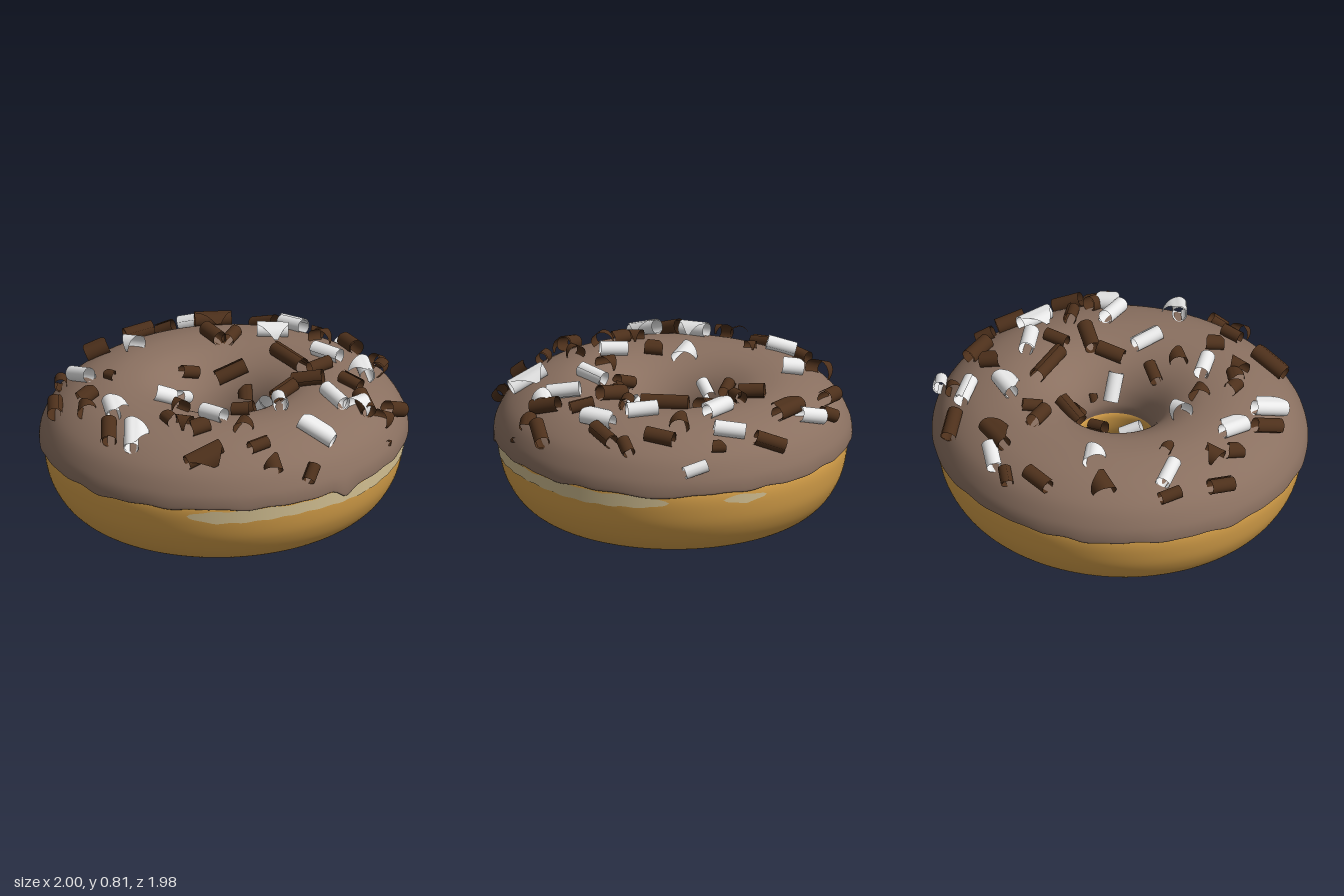
import * as THREE from 'three';

const V2 = (r, y) => new THREE.Vector2(r, y);
const spline = (pts, n) => new THREE.SplineCurve(pts.map(p => V2(...p))).getPoints(n);

// Ring profiles (radius, height), wound counter-clockwise
const doughProfile = spline([
  [0.222, 0.41], [0.212, 0.36], [0.24, 0.25], [0.32, 0.12], [0.43, 0.03], [0.56, 0.002], [0.68, 0.004],
  [0.795, 0.037], [0.88, 0.105], [0.94, 0.205], [0.968, 0.31], [0.973, 0.4], [0.95, 0.47],
], 72);
const icingProfile = spline([
  [0.955, 0.43], [0.985, 0.413], [1.0, 0.425], [0.985, 0.5], [0.92, 0.6], [0.8, 0.68], [0.66, 0.722],
  [0.54, 0.73], [0.42, 0.71], [0.31, 0.65], [0.235, 0.56], [0.203, 0.46], [0.212, 0.395],
], 72);

// The ring is slightly oval on the diagonal and its hole is a little off centre
function warp(x, z) {
  const f = 1 - 0.026 * Math.sin(2 * Math.atan2(x, z));
  const k = THREE.MathUtils.clamp((1 - Math.hypot(x, z)) / 0.8, 0, 1);
  return [x * f + 0.013 * k, z * f * 0.99 - 0.02 * k];
}

function unwarp(x, z) {
  let p = [x, z];
  for (let i = 0; i < 4; i++) {
    const q = warp(...p);
    p = [p[0] + x - q[0], p[1] + z - q[1]];
  }
  return p;
}

function warpGeometry(geo) {
  const p = geo.attributes.position;
  for (let i = 0; i < p.count; i++) {
    const [x, z] = warp(p.getX(i), p.getZ(i));
    p.setXYZ(i, x, p.getY(i), z);
  }
  return geo;
}

const gauss = (a, centre, width) => {
  const d = Math.atan2(Math.sin(a - centre), Math.cos(a - centre)) / width;
  return Math.exp(-d * d);
};

// How far the icing edge runs down at an angle round the ring
const drip = a => 0.003 * Math.sin(9 * a) + 0.004 * Math.sin(17 * a + 1) + 0.003 * Math.sin(29 * a)
  + 0.045 * gauss(a, 0.668, 0.06) + 0.018 * gauss(a, -0.82, 0.1)
  + 0.022 * gauss(a, 2.1, 0.09) + 0.018 * gauss(a, -2.3, 0.1) + 0.012 * gauss(a, -1.5, 0.1);

function makeIcing() {
  const geo = new THREE.LatheGeometry(icingProfile, 240);
  const p = geo.attributes.position;
  for (let i = 0; i < p.count; i++) {
    const x = p.getX(i), y = p.getY(i), z = p.getZ(i);
    if (Math.hypot(x, z) < 0.7) continue;
    const w = THREE.MathUtils.clamp((0.52 - y) / 0.1, 0, 1);
    p.setY(i, y - w * drip(Math.atan2(x, z)));
  }
  return warpGeometry(geo);
}

const outerDough = doughProfile.filter(q => q.x > 0.8);
const doughRadius = y =>
  outerDough.reduce((a, b) => (Math.abs(b.y - y) < Math.abs(a.y - y) ? b : a)).x;

// Pale ragged band laid on the dough just below the icing
function makeBand(start, end, top, bottom) {
  const rows = 4, cols = Math.ceil((end - start) * 60);
  const pts = Array.from({ length: rows + 1 }, (_, i) => V2(0.97, i / rows));
  const geo = new THREE.LatheGeometry(pts, cols, start, end - start);
  const p = geo.attributes.position;
  for (let i = 0; i < p.count; i++) {
    const a = start + (end - start) * Math.floor(i / (rows + 1)) / cols;
    const fade = Math.sqrt(Math.min(1, (a - start) / 0.14, (end - a) / 0.14) + 1e-6);
    const mid = (top + bottom) / 2;
    const hi = mid + fade * (top - mid + 0.004 * Math.sin(13 * a) + 0.003 * Math.sin(37 * a));
    const lo = mid - fade * (mid - bottom + 0.005 * Math.sin(7 * a + 2) + 0.003 * Math.sin(41 * a));
    const y = lo + (hi - lo) * p.getY(i), r = doughRadius(y) + 0.004;
    p.setXYZ(i, r * Math.sin(a), y, r * Math.cos(a));
  }
  return warpGeometry(geo);
}

// Rolled strip along x; it can taper to a point and unroll towards its end
function makeCurl(len, r, from, to, taper, unroll) {
  const n = 40, pos = [], idx = [];
  for (let i = 0; i <= n; i++) {
    const k = i / n, a = from + (to - from) * k;
    const open = taper ? Math.max(0, (k - 1 + taper) / taper) : 0;
    const rho = r * (0.78 + 0.22 * k) * (1 + unroll * open);
    const half = len / 2 * (1 - open * 0.88), shift = len * 0.12 * open;
    for (const s of [-1, 1]) pos.push(s * half + shift, rho * Math.sin(a), rho * Math.cos(a));
    if (i < n) {
      const b = 2 * i;
      idx.push(b, b + 2, b + 1, b + 1, b + 2, b + 3);
    }
  }
  const geo = new THREE.BufferGeometry();
  geo.setAttribute('position', new THREE.Float32BufferAttribute(pos, 3));
  geo.setIndex(idx);
  geo.computeVertexNormals();
  return geo;
}

// Rests a mesh on the icing so that its centre is seen at (x, z) from above
function rest(mesh, x, z, degrees, lift) {
  const [ux, uz] = unwarp(x, z), r = Math.hypot(ux, uz);
  let spot = null, miss = Infinity;
  for (let i = 1; i < icingProfile.length - 1; i++) {
    const q = icingProfile[i];
    if (q.y < 0.5) continue;
    const t = icingProfile[i + 1].clone().sub(icingProfile[i - 1]).normalize();
    const c = V2(q.x + t.y * lift, q.y - t.x * lift);
    if (Math.abs(c.x - r) < miss) { miss = Math.abs(c.x - r); spot = { c, n: V2(t.y, -t.x) }; }
  }
  const dx = ux / r, dz = uz / r, a = degrees * Math.PI / 180;
  const up = new THREE.Vector3(spot.n.x * dx, Math.max(spot.n.y, 0.6), spot.n.x * dz).normalize();
  const axis = new THREE.Vector3(Math.cos(a), 0, Math.sin(a));
  axis.y = -axis.dot(up) / up.y;
  axis.normalize();
  const side = new THREE.Vector3().crossVectors(axis, up);
  mesh.quaternion.setFromRotationMatrix(new THREE.Matrix4().makeBasis(axis, up, side));
  const [px, pz] = warp(spot.c.x * dx, spot.c.x * dz);
  mesh.position.set(px, spot.c.y, pz);
}

// Curls: x, z, length, angle, 1 when it has a loose flap
const darkCurls = [
  [-0.4, -0.75, 0.16, -15], [-0.25, -0.86, 0.1, 20], [0, -0.78, 0.2, 0, 1], [0.29, -0.89, 0.17, 45],
  [-0.02, -0.53, 0.14, 60], [0.08, -0.51, 0.11, -60], [0.73, -0.47, 0.16, 70], [0.86, -0.34, 0.1, -60],
  [0.86, -0.18, 0.16, -75], [0.37, -0.23, 0.26, 60], [0.06, -0.27, 0.17, -10], [-0.17, -0.24, 0.1, -20],
  [-0.87, -0.2, 0.12, 95], [0.53, -0.09, 0.13, -30], [0.45, 0.07, 0.17, 15], [0.32, 0.13, 0.15, -40],
  [0.68, 0.1, 0.13, 40], [-0.93, 0.09, 0.14, 95], [0.09, 0.26, 0.12, 10], [0.91, 0.21, 0.16, -50],
  [0.73, 0.3, 0.16, 75], [-0.67, 0.54, 0.16, 95], [-0.17, 0.83, 0.21, -20, 1], [0.13, 0.78, 0.11, -25],
  [0.41, 0.86, 0.1, -60],
];
const whiteCurls = [
  [-0.1, -0.86, 0.16, 20], [0.43, -0.72, 0.17, 50], [0.71, -0.7, 0.13, 35], [0.31, -0.55, 0.17, 5, 1],
  [-0.76, -0.15, 0.16, 55], [-0.22, -0.06, 0.12, -60], [0.19, 0.07, 0.16, 50], [0.57, -0.23, 0.17, 40],
  [0.78, -0.08, 0.19, 85, 1], [-0.63, 0.34, 0.16, 265, 1], [0.28, 0.34, 0.16, 90], [0.58, 0.3, 0.18, 60],
  [-0.09, 0.47, 0.15, 45], [-0.55, 0.62, 0.2, -85, 1], [0.46, 0.65, 0.21, 210, 1],
];
// Flakes: x, z, size
const darkFlakes = [
  [0.55, -0.73, 0.08], [-0.65, -0.49, 0.13], [0.56, -0.49, 0.11], [0.14, -0.19, 0.09], [-0.61, -0.06, 0.07],
  [0.22, -0.04, 0.05], [-0.74, 0.14, 0.11], [-0.78, 0.26, 0.1], [-0.26, 0.33, 0.1], [0.06, 0.4, 0.1],
  [0.83, 0.33, 0.1], [0.865, 0.42, 0.03], [-0.34, 0.52, 0.09], [-0.26, 0.56, 0.1], [-0.18, 0.63, 0.11],
  [0.05, 0.62, 0.1], [0.21, 0.88, 0.1],
];
const whiteFlakes = [[-0.47, -0.46, 0.12], [-0.34, 0.19, 0.12], [0.69, 0.34, 0.13]];

export function createModel() {
  const mat = (name, color, side = THREE.FrontSide) => {
    const m = new THREE.MeshStandardMaterial({ color, side });
    m.name = name;
    return m;
  };
  const golden = mat('golden dough', 0xd9a24a);
  const pale = mat('pale dough', 0xd0bd90, THREE.DoubleSide);
  const icing = mat('milk chocolate icing', 0x8a7060, THREE.DoubleSide);
  const dark = mat('dark chocolate', 0x4d301b, THREE.DoubleSide);
  const white = mat('white chocolate', 0xe9e9e9, THREE.DoubleSide);

  const model = new THREE.Group();
  const add = (name, geo, m, parent = model) => {
    const mesh = new THREE.Mesh(geo, m);
    mesh.name = name;
    parent.add(mesh);
    return mesh;
  };

  // Ring
  add('dough', warpGeometry(new THREE.LatheGeometry(doughProfile, 128)), golden);
  add('paleBand', makeBand(-0.28, 2.21, 0.4, 0.331), pale);
  add('paleBandPatch', makeBand(2.51, 2.77, 0.393, 0.342), pale);
  add('icing', makeIcing(), icing);

  // Shavings
  const toppings = new THREE.Group();
  toppings.name = 'shavings';
  model.add(toppings);
  const scatter = (name, material, curls, flakes) => {
    curls.forEach(([x, z, len, deg, flap], i) => {
      const r = len > 0.13 ? 0.045 : 0.038;
      const end = 0.9 * i;
      const geo = flap ? makeCurl(len, r, 10.5, -0.25, 0.11, 1.1) : makeCurl(len, r, end + 8, end, 0, 0);
      rest(add(name + 'Curl', geo, material, toppings), x, z, deg, r * 0.7);
    });
    flakes.forEach(([x, z, size], i) => {
      const r = size * 0.4;
      const geo = makeCurl(size, r, 4.4, -0.3, 0.45, 0.6);
      rest(add(name + 'Flake', geo, material, toppings), x, z, 40 + i * 137, r * 0.6);
    });
  };
  scatter('dark', dark, darkCurls, darkFlakes);
  scatter('white', white, whiteCurls, whiteFlakes);
  return model;
}
